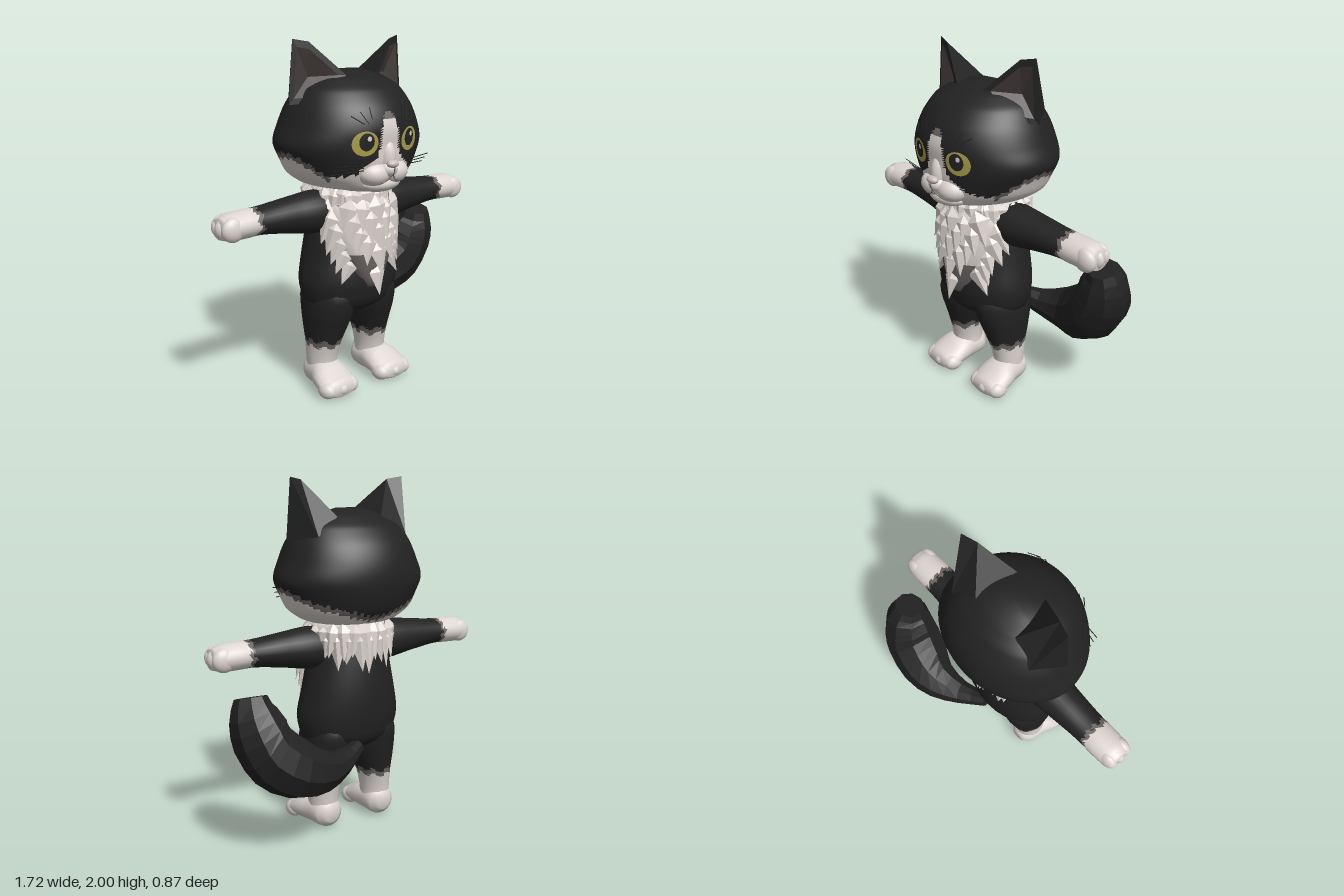
import * as THREE from 'three';
import { mergeGeometries } from 'three/addons/utils/BufferGeometryUtils.js';

const V = (x, y, z) => new THREE.Vector3(x, y, z);
const mat = (name, color, flatShading = false) => {
  const m = new THREE.MeshStandardMaterial({ color, flatShading });
  m.name = name;
  return m;
};

// Smooth lookup in a table whose rows start with their position
function sample(table, t) {
  let i = 0;
  while (i < table.length - 2 && t > table[i + 1][0]) i++;
  const at = k => table[Math.min(Math.max(k, 0), table.length - 1)];
  const [p0, p1, p2, p3] = [at(i - 1), at(i), at(i + 1), at(i + 2)];
  const u = THREE.MathUtils.clamp((t - p1[0]) / (p2[0] - p1[0]), 0, 1);
  return p1.slice(1).map((b, k) => {
    const a = p0[k + 1], c = p2[k + 1], d = p3[k + 1];
    return b + 0.5 * u * (c - a + u * (2 * a - 5 * b + 4 * c - d + u * (3 * (b - c) + d - a)));
  });
}

// Closed skin over rings of points
function loft(rings) {
  const n = rings[0].length, last = (rings.length - 1) * n, idx = [];
  const mid = r => r.reduce((s, p) => s.add(p), V(0, 0, 0)).divideScalar(n);
  const pts = [...rings.flat(), mid(rings[0]), mid(rings[rings.length - 1])];
  const s = pts.length - 2, e = s + 1;
  for (let j = 0; j < n; j++) {
    const k = (j + 1) % n;
    for (let i = 0; i < last; i += n) idx.push(i + j, i + j + n, i + k, i + k, i + j + n, i + k + n);
    idx.push(s, j, k, e, last + k, last + j);
  }
  const g = new THREE.BufferGeometry().setFromPoints(pts);
  g.setIndex(idx);
  g.computeVertexNormals();
  return g.toNonIndexed();
}

// Rows are [position on axis, centre a, centre b, radius a, radius b]; (a, b) is (x, z), (z, y) or (y, x)
function limb(axis, table, steps, sides) {
  const t0 = table[0][0], t1 = table[table.length - 1][0], rings = [];
  for (let i = 0; i <= steps; i++) {
    const t = t0 + (t1 - t0) * i / steps, [ca, cb, ra, rb] = sample(table, t);
    rings.push(Array.from({ length: sides }, (_, j) => {
      const q = j / sides * Math.PI * 2, a = ca + ra * Math.cos(q), b = cb + rb * Math.sin(q);
      return axis === 'y' ? V(a, t, b) : axis === 'x' ? V(t, b, a) : V(b, a, t);
    }));
  }
  return loft(rings);
}

// Sorts triangles into material groups by their centre
function paint(g, pick) {
  const P = g.attributes.position.array, N = g.attributes.normal.array, buckets = [[], [], []];
  for (let i = 0; i < P.length; i += 9) {
    const c = k => (P[i + k] + P[i + k + 3] + P[i + k + 6]) / 3;
    buckets[pick(c(0), c(1), c(2))].push(i);
  }
  const out = new THREE.BufferGeometry(), order = buckets.flat();
  const gather = A => new THREE.Float32BufferAttribute(order.flatMap(i => [...A.slice(i, i + 9)]), 3);
  out.setAttribute('position', gather(P));
  out.setAttribute('normal', gather(N));
  let start = 0;
  buckets.forEach((b, m) => { out.addGroup(start, b.length * 3, m); start += b.length * 3; });
  return out;
}

function mirror(g) {
  const m = (g.index ? g.toNonIndexed() : g.clone()).scale(-1, 1, 1);
  for (const { array: a } of [m.attributes.position, m.attributes.normal])
    for (let i = 0; i < a.length; i += 9)
      for (let k = 3; k < 6; k++) [a[i + k], a[i + k + 3]] = [a[i + k + 3], a[i + k]];
  return m;
}

function polys(list) {
  const pts = list.flatMap(f => f.slice(2).flatMap((p, i) => [f[0], f[i + 1], p]));
  const g = new THREE.BufferGeometry().setFromPoints(pts);
  g.computeVertexNormals();
  return g;
}

function ball(x, y, z, rx, ry, rz) {
  return new THREE.SphereGeometry(1, 20, 14).scale(rx, ry, rz).translate(x, y, z);
}

// Head rows: [y, half width, front z, back z]
const HEAD = [[1.19, .16, .26, -.13], [1.22, .275, .32, -.23], [1.28, .36, .345, -.29], [1.36, .403, .37, -.32],
  [1.45, .438, .375, -.335], [1.55, .403, .38, -.325], [1.65, .36, .345, -.285], [1.74, .3, .27, -.21],
  [1.8, .2, .17, -.12], [1.83, .08, .07, -.03]];
const headZ = (x, y) => {
  const [w, f] = sample(HEAD, y);
  return f * Math.sqrt(Math.max(0, 1 - (x / w) ** 2));
};
// Upper edge of the white face fur by angle from the front, and blaze width by height
const CHEEK = [[0, 1.38], [.45, 1.32], [.9, 1.3], [1.3, 1.39], [1.6, 1.41], [2.1, 1.34], [3.15, 1.26]];
const BLAZE = [[1.33, .17], [1.4, .08], [1.47, .06], [1.57, .05], [1.63, .025]];

export function createModel() {
  const root = new THREE.Group();
  const black = mat('black fur', 0x222222), white = mat('white fur', 0xddd5d1), grey = mat('grey fringe', 0x6b6563);
  const yellow = mat('eye yellow', 0xa99d4a), earSkin = mat('ear skin', 0x433c3a), pink = mat('nose pink', 0xcbbcb6);
  const whiteTuft = mat('white tuft', 0xddd5d1, true), blackFlat = mat('black facets', 0x222222, true);
  const coat = [black, white, grey];
  const add = (name, g, m) => {
    const mesh = new THREE.Mesh(g, m);
    mesh.name = name;
    root.add(mesh);
  };
  const pair = (name, g, m) => { add('left' + name, g, m); add('right' + name, mirror(g), m); };

  // Head with white blaze and cheeks
  const headRings = Array.from({ length: 53 }, (_, i) => {
    const y = 1.19 + .64 * i / 52, [w, f, b] = sample(HEAD, y);
    return Array.from({ length: 112 }, (_, j) => {
      const q = j / 112 * Math.PI * 2, s = Math.sin(q);
      return V(w * Math.cos(q), y, s > 0 ? f * s : -b * s);
    });
  });
  add('head', paint(loft(headRings), (x, y, z) => {
    const ax = Math.abs(x), q = Math.atan2(ax, z), edge = sample(CHEEK, q)[0] + .008 * Math.sin(q * 45);
    if (y < edge) return q > .9 && y > edge - .03 ? 2 : 1;
    if (z < 0 || y > 1.63 || ax > sample(BLAZE, y)[0]) return 0;
    return y > 1.6 ? 2 : 1;
  }), coat);

  // Muzzle, nose and mouth
  add('muzzle', mergeGeometries([ball(.062, 1.305, .315, .095, .07, .085), ball(-.062, 1.305, .315, .095, .07, .085),
    ball(0, 1.245, .295, .13, .05, .08), ball(0, 1.39, .335, .05, .11, .065), ball(0, 1.33, .34, .06, .05, .075)]), white);
  add('nose', ball(0, 1.362, .4, .038, .022, .027), pink);
  for (const s of [-1, 1]) {
    const lip = new THREE.CatmullRomCurve3([V(0, 1.345, .42), V(0, 1.31, .407), V(s * .03, 1.272, .388), V(s * .075, 1.26, .379)]);
    add('mouthLine', new THREE.TubeGeometry(lip, 12, .003, 5), grey);
  }

  // Eyes follow the curve of the face
  const patch = (name, cx, cy, rx, ry, lift, m) => {
    const g = new THREE.RingGeometry(0, 1, 28, 5), p = g.attributes.position;
    for (let i = 0; i < p.count; i++) {
      const x = cx + rx * p.getX(i), y = cy + ry * p.getY(i);
      p.setXYZ(i, x, y, headZ(x, y) + lift);
    }
    g.computeVertexNormals();
    add(name, g, m);
  };
  for (const s of [-1, 1]) {
    patch('iris', s * .15, 1.477, .071, .065, .004, yellow);
    patch('pupil', s * .145, 1.486, .041, .047, .007, black);
    patch('eyeGlint', s * .145 + .012, 1.503, .012, .014, .009, white);
  }

  // Whiskers and brow hairs
  const hair = (a, b) => new THREE.TubeGeometry(new THREE.LineCurve3(a, b), 1, .0025, 4);
  const hairs = [0, 1, 2].flatMap(i => [
    hair(V(.15, 1.335 + i * .012, .345), V(.32, 1.32 + i * .025, .28 + i * .022)),
    hair(V(.1 + i * .03, 1.58, .358), V(.11 + i * .05, 1.66 - i * .02, .335 - i * .012))]);
  pair('Whiskers', mergeGeometries(hairs), black);

  // Ears with a rim and a hollow
  const [M, O, T1, T2, I] = [V(.25, 1.68, .12), V(.388, 1.66, .01), V(.36, 2, .01), V(.278, 1.985, .04), V(.1, 1.81, .13)];
  const [K, J] = [V(.28, 1.69, -.15), V(.14, 1.79, -.11)];
  const rim = [M, O, T1, T2, I], centre = V(.28, 1.81, .06), deep = V(.265, 1.8, .01);
  const inner = rim.map(p => p.clone().lerp(centre, .22));
  const around = f => rim.map((p, i) => f(i, (i + 1) % 5));
  pair('Ear', polys([...around((i, j) => [rim[i], rim[j], inner[j], inner[i]]), [T1, O, K], [T2, T1, K, J], [I, T2, J]]), blackFlat);
  pair('InnerEar', polys(around((i, j) => [inner[i], inner[j], deep])), earSkin);

  // Torso
  add('torso', limb('y', [[.47, 0, .02, .18, .13], [.52, 0, .02, .275, .2], [.58, 0, .02, .3, .22], [.66, 0, .02, .312, .232],
    [.8, 0, .012, .285, .227], [.95, 0, .01, .255, .21], [1.1, 0, 0, .23, .17], [1.22, 0, 0, .17, .125]], 20, 28), black);

  // Arms with white paws
  pair('Arm', paint(limb('x', [[.1, .02, 1.07, .12, .11], [.25, .022, 1.065, .125, .12], [.42, .02, 1.07, .108, .098], [.6, .02, 1.072, .095, .076],
    [.7, .02, 1.07, .096, .076], [.79, .02, 1.067, .09, .073], [.84, .02, 1.064, .07, .055]], 50, 24), (x, y, z) => {
    const e = .62 + .01 * Math.sin(Math.atan2(y - 1.07, z) * 9);
    return x > e + .025 ? 1 : x > e ? 2 : 0;
  }), coat);
  pair('Fingers', mergeGeometries([-.03, .022, .074].map((z, i) => ball(.785, 1.064, z, i === 1 ? .075 : .067, .066, .04))), white);

  // Legs with white socks
  pair('Leg', paint(limb('y', [[.1, .18, 0, .085, .095], [.18, .18, 0, .087, .1], [.28, .172, .004, .098, .122], [.38, .16, .01, .122, .15],
    [.48, .15, .018, .14, .178], [.57, .145, .02, .14, .19], [.68, .14, .02, .11, .16]], 56, 24), (x, y, z) => {
    const e = .3 + .014 * Math.sin(Math.atan2(z, x - .17) * 8);
    return y < e - .035 ? 1 : y < e ? 2 : 0;
  }), coat);
  pair('Foot', limb('z', [[-.11, .095, .18, .05, .045], [-.07, .09, .18, .085, .085], [.03, .093, .185, .091, .1], [.1, .085, .193, .083, .116],
    [.18, .064, .197, .063, .12], [.225, .055, .197, .05, .1], [.24, .053, .197, .035, .08]], 20, 20), white);
  pair('Toes', mergeGeometries([-.077, 0, .077].map((x, i) => ball(.197 + x, .052, .18, .049, .05, i === 1 ? .072 : .062))), white);

  // Tail sweeping to the left and up
  const spine = new THREE.CatmullRomCurve3([V(.05, .5, -.17), V(.2, .455, -.24), V(.36, .455, -.285), V(.495, .495, -.28),
    V(.63, .59, -.25), V(.685, .7, -.23), V(.71, .8, -.205), V(.71, .89, -.18)]);
  const radii = [.045, .075, .125, .168, .175, .16, .132, .088].map((r, i) => [i / 7, r]);
  const frames = spine.computeFrenetFrames(14);
  add('tail', loft(Array.from({ length: 15 }, (_, i) => Array.from({ length: 9 }, (_, j) => {
    const q = j / 9 * Math.PI * 2, r = sample(radii, i / 14)[0];
    return spine.getPoint(i / 14).addScaledVector(frames.normals[i], r * Math.cos(q)).addScaledVector(frames.binormals[i], -r * Math.sin(q));
  }))), blackFlat);

  // Bib and collar beneath the tufts, grey towards the tip
  const BIB = [[.64, 0, .22, .05, .04], [.72, 0, .2, .11, .08], [.85, 0, .17, .18, .12], [.98, 0, .12, .225, .165],
    [1.1, 0, .04, .245, .235], [1.21, 0, 0, .22, .2]];
  add('bib', paint(limb('y', BIB, 14, 24), (x, y) => y < .85 ? 2 : 1), coat);

  // Leaf-shaped tufts hanging over the bib and collar
  const tuft = (x, y, z, r, len, tilt, splay) => {
    const g = new THREE.OctahedronGeometry(1), p = g.attributes.position;
    for (let i = 0; i < p.count; i++) p.setXYZ(i, p.getX(i) * r, p.getY(i) * (p.getY(i) > 0 ? .4 : 1) * len, p.getZ(i) * r * .5);
    g.computeVertexNormals();
    return g.rotateX(-tilt).rotateZ(splay).rotateY(Math.atan2(x, z)).translate(x, y, z);
  };
  const tufts = [];
  for (let row = 0; row < 8; row++) {
    const y = .73 + row * .062, [, cz, rx, rz] = sample(BIB, y), n = row + 1;
    for (let i = 0; i < n; i++) {
      const u = n > 1 ? i / (n - 1) * 2 - 1 : 0, wob = Math.sin(row * 5.3 + i * 2.7);
      const x = u * rx * .95, z = cz + rz * Math.sqrt(1 - (x / rx) ** 2);
      tufts.push(tuft(x, y + wob * .012, z, .054 + wob * .008, .135 + wob * .02, .2, u * .35 + wob * .1));
    }
  }
  for (let row = 0; row < 2; row++) for (let i = 0; i < 24; i++) {
    const q = (i + row / 2) / 24 * Math.PI * 2, c = Math.cos(q), wob = Math.sin(i * 2.3 + row);
    const len = .06 + .11 * Math.abs(c) + .03 * wob;
    tufts.push(tuft(.24 * Math.sin(q), 1.12 + row * .045, .005 + .222 * c, .056, len, .12 + row * .06, .2 * Math.sin(i * 3.1)));
  }
  add('chestFur', mergeGeometries(tufts), whiteTuft);
  return root;
}
